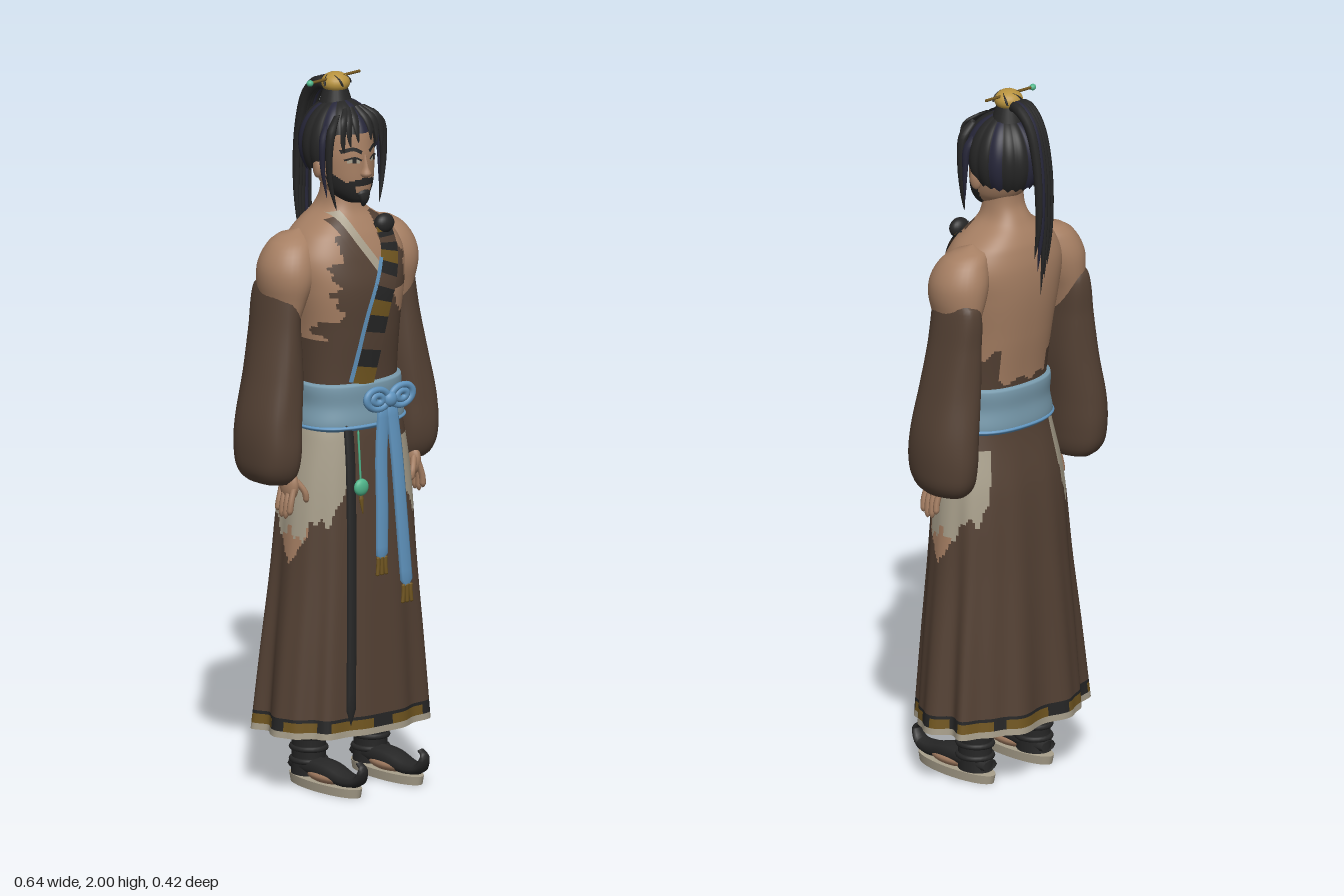
import * as THREE from 'three';

const mat = (name, color) => {
  const m = new THREE.MeshStandardMaterial({ color, side: THREE.DoubleSide });
  m.name = name;
  return m;
};
const skin = mat('skin', 0xa67f63), brown = mat('brown cloth', 0x544134), black = mat('black', 0x262626);
const navy = mat('hair sheen', 0x27273a), gold = mat('gold', 0xb8933f), bronze = mat('bronze trim', 0x715620);
const cream = mat('cream', 0xa89f8b), blue = mat('blue cord', 0x5f93bd), sash = mat('belt blue', 0x7799ab);
const jade = mat('jade', 0x4fb58a);

// Smooth grid surface; pick(x, y, z, u, v) chooses the material of each cell
function grid(name, nu, nv, wrap, point, pick) {
  const pos = [], buckets = new Map(), cols = wrap ? nu : nu + 1;
  for (let j = 0; j <= nv; j++) for (let i = 0; i < cols; i++) pos.push(...point(i / nu, j / nv));
  for (let j = 0; j < nv; j++) for (let i = 0; i < nu; i++) {
    const k = (i + 1) % cols, a = j * cols + i, b = j * cols + k, c = b + cols, d = a + cols;
    const mid = [0, 1, 2].map((q) => (pos[a * 3 + q] + pos[c * 3 + q]) / 2);
    const m = pick.isMaterial ? pick : pick(...mid, (i + 0.5) / nu, (j + 0.5) / nv);
    if (!buckets.has(m)) buckets.set(m, []);
    buckets.get(m).push(a, b, c, a, c, d);
  }
  const g = new THREE.BufferGeometry(), index = [], mats = [];
  for (const [m, list] of buckets) {
    g.addGroup(index.length, list.length, mats.length);
    mats.push(m);
    for (const n of list) index.push(n);
  }
  g.setAttribute('position', new THREE.Float32BufferAttribute(pos, 3));
  g.setIndex(index);
  g.computeVertexNormals();
  const mesh = new THREE.Mesh(g, mats.length > 1 ? mats : mats[0]);
  mesh.name = name;
  return mesh;
}

// Cross-section rows [y, half width, front z, back z, centre x], highest first, blended smoothly
function section(rows, y) {
  let k = 0;
  while (k < rows.length - 2 && y < rows[k + 1][0]) k++;
  const h = rows[k + 1][0] - rows[k][0], t = THREE.MathUtils.clamp((y - rows[k][0]) / h, 0, 1);
  const slope = (i, c) => {
    const p = rows[Math.max(i - 1, 0)], q = rows[Math.min(i + 1, rows.length - 1)];
    return ((q[c] ?? 0) - (p[c] ?? 0)) / (q[0] - p[0]) * h;
  };
  return [1, 2, 3, 4].map((c) => {
    const p = rows[k][c] ?? 0, q = rows[k + 1][c] ?? 0, t2 = t * t, t3 = t2 * t;
    return (2 * t3 - 3 * t2 + 1) * p + (t3 - 2 * t2 + t) * slope(k, c) + (3 * t2 - 2 * t3) * q + (t3 - t2) * slope(k + 1, c);
  });
}
const spow = (v, e) => Math.sign(v) * Math.abs(v) ** e;
function loft(name, rows, pick, { nu = 32, nv = 24, e = 1, fold = () => 1 } = {}) {
  const top = rows[0][0], low = rows[rows.length - 1][0];
  return grid(name, nu, nv, true, (u, v) => {
    const y = top + (low - top) * v, a = u * Math.PI * 2, [rx, zf, zb, cx] = section(rows, y), f = fold(a, y);
    return [cx + rx * f * spow(Math.cos(a), e), y, (zf + zb) / 2 + (zf - zb) / 2 * f * spow(Math.sin(a), e)];
  }, pick);
}
// Front depth of a loft at x, y
function frontZ(rows, x, y, e = 1) {
  const [rx, zf, zb, cx] = section(rows, y), q = Math.min(1, Math.abs((x - cx) / rx));
  return (zf + zb) / 2 + (zf - zb) / 2 * Math.max(0, 1 - q ** (2 / e)) ** (e / 2);
}
// Thin band laid on the front of a loft along points [x, y]
function ribbon(name, pts, width, rows, lift, pick, e = 1) {
  const curve = new THREE.CatmullRomCurve3(pts.map(([x, y]) => new THREE.Vector3(x, y, 0)));
  return grid(name, 6, 28, false, (u, v) => {
    const p = curve.getPoint(v), t = curve.getTangent(v), w = (u - 0.5) * width;
    const x = p.x + t.y * w, y = p.y - t.x * w;
    return [x, y, frontZ(rows, x, y, e) + lift];
  }, pick);
}
// Tapered lock or strip along a path, w wide in x and t thick
const taper = (v) => Math.min(1, 0.55 + v * 2) * (1 - v) ** 0.6;
const strip = (v) => Math.min(1, 40 * Math.min(v, 1 - v));
const digit = (v) => Math.min(1, 6 * (1 - v)) ** 0.5;
function strand(name, pts, w, t, m, shape = taper) {
  const curve = new THREE.CatmullRomCurve3(pts.map((p) => new THREE.Vector3(...p))), X = new THREE.Vector3(1, 0, 0);
  return grid(name, 8, 22, true, (u, v) => {
    const n = curve.getTangent(v).cross(X).normalize(), a = u * Math.PI * 2, s = shape(v);
    return curve.getPoint(v).addScaledVector(X, w * s * Math.cos(a)).addScaledVector(n, t * s * Math.sin(a)).toArray();
  }, m);
}
function solid(name, geo, m, p, s = [1, 1, 1], r = [0, 0, 0]) {
  const mesh = new THREE.Mesh(geo, m);
  mesh.name = name;
  mesh.position.set(...p);
  mesh.scale.set(...s);
  mesh.rotation.set(...r);
  return mesh;
}
const ball = new THREE.SphereGeometry(1, 24, 16);

const TORSO = [[1.74, .05, .03, -.085], [1.67, .052, .03, -.085], [1.625, .068, .04, -.105], [1.59, .115, .062, -.125], [1.56, .15, .08, -.138], [1.5, .18, .105, -.15],
  [1.42, .172, .125, -.15], [1.3, .153, .122, -.135], [1.15, .146, .108, -.11], [1.02, .15, .105, -.1]];
const HEAD = [[1.915, .01, 0, -.04], [1.9, .045, .035, -.085], [1.87, .07, .063, -.11], [1.8, .08, .078, -.12], [1.75, .078, .08, -.11],
  [1.7, .068, .079, -.085], [1.67, .05, .073, -.05], [1.65, .025, .06, -.01], [1.645, .004, .04, .02]];
const SKIRT = [[1.06, .152, .108, -.108], [1, .168, .118, -.115], [.85, .195, .13, -.142], [.6, .215, .143, -.162], [.4, .236, .15, -.175], [.165, .258, .157, -.188]];
const E = 0.85;

function buildBody(g) {
  // Bare torso with a brown wrap over the front
  g.add(loft('torso', TORSO, (x, y, z) => {
    const jag = 0.012 * Math.sin(y * 75 + x * 20) + 0.008 * Math.sin(y * 170);
    const edge = 0.02 * Math.sin(x * 80);
    if (y < 1.17 + edge * 0.5) return brown;
    if (y < 1.28) return z > -0.06 + jag || (Math.abs(x) > 0.085 && y < 1.25 + edge) ? brown : skin;
    if (z < 0.02 || y > 1.615) return skin;
    if (y > 1.49 && x > -0.045 + (1.6 - y) * 0.55 && x < 0.045) return skin;
    const w = y < 1.33 ? 0.15 : y < 1.4 ? (x > 0 ? 0.075 : 0.115) : 0.13 - Math.max(0, y - 1.47) * 0.5;
    return Math.abs(x - 0.008) < w + jag ? brown : skin;
  }, { nu: 112, nv: 92, e: E }));
  g.add(ribbon('cream collar', [[-.06, 1.625], [-.035, 1.56], [.025, 1.46]], .024, TORSO, .008, cream, E));
  g.add(ribbon('brown collar', [[-.075, 1.61], [-.055, 1.555], [0, 1.46]], .03, TORSO, .005, brown, E));
  g.add(ribbon('striped band', [[.075, 1.59], [.07, 1.52], [.015, 1.37], [-.035, 1.15]], .068, TORSO, .009,
    (x, y, z, u, v) => [black, bronze, black, brown][Math.floor(v * 14) % 4], E));
  g.add(ribbon('blue trim', [[.03, 1.5], [-.028, 1.37], [-.074, 1.16]], .013, TORSO, .009, blue, E));
  g.add(solid('shoulder clasp', ball, black, [.075, 1.58, .07], [.032, .028, .022]));
  for (const s of [1, -1]) {
    const side = (rows) => rows.map((r) => [...r.slice(0, 4), r[4] * s]);
    g.add(loft('arm', side([[1.578, .001, -.045, -.047, .135], [1.565, .045, -.01, -.09, .145], [1.54, .063, .022, -.112, .163], [1.49, .076, .046, -.13, .178],
      [1.44, .071, .05, -.132, .186], [1.38, .052, .035, -.125, .193], [1.3, .04, .015, -.11, .2], [1, .03, .02, -.06, .22], [.88, .02, .03, -.02, .218]]), skin, { nv: 48 }));
    g.add(loft('sleeve', side([[1.45, .02, .01, -.1, .215], [1.42, .042, .025, -.136, .205], [1.3, .055, .033, -.142, .211], [1.18, .067, .045, -.147, .222],
      [1.05, .075, .058, -.157, .24], [.96, .073, .062, -.157, .244], [.9, .062, .045, -.14, .242], [.872, .035, .01, -.1, .235], [.868, .004, -.04, -.05, .235]]), brown,
      { nv: 48, e: .9, fold: (a, y) => 1 + .02 * Math.sin(a * 5 + y * 9) }));
    // Hand with four fingers and a thumb
    const hand = new THREE.Group();
    hand.name = 'hand';
    hand.add(solid('palm', ball, skin, [.218 * s, .875, .015], [.02, .045, .034]));
    for (let i = 0; i < 4; i++) {
      const z = .04 - i * .017, tip = [.795, .782, .784, .8][i];
      hand.add(strand('finger', [[.222 * s, .87, z], [.234 * s, .83, z + .002], [.238 * s, tip, z]], .009, .009, skin, digit));
    }
    hand.add(strand('thumb', [[.21 * s, .89, .035], [.192 * s, .855, .052], [.186 * s, .825, .05]], .009, .009, skin, digit));
    g.add(hand);
    // Wrapped leg and curled shoe
    g.add(loft('leg', side([[.5, .06, .03, -.09, .1], [.2, .05, .022, -.082, .11], [.08, .045, .018, -.08, .11], [.03, .045, .02, -.085, .11]]), black));
    for (let i = 0; i < 3; i++) g.add(solid('ankle wrap', new THREE.TorusGeometry(.044, .008, 8, 24), black, [.11 * s, .07 + i * .035, -.031], [1.02, 1.12, 1], [Math.PI / 2, 0, 0]));
    g.add(solid('sole', new THREE.CylinderGeometry(1, .96, 1, 36), cream, [.11 * s, .0125, .042], [.047, .025, .147]));
    g.add(solid('foot', ball, skin, [.11 * s, .042, .055], [.045, .024, .08]));
    g.add(strand('shoe', [[.11 * s, .05, -.09], [.11 * s, .057, 0], [.11 * s, .054, .07], [.11 * s, .042, .14], [.11 * s, .05, .185], [.11 * s, .085, .202], [.11 * s, .1, .185]],
      .045, .026, black, (v) => Math.min(1, .6 + v * 3) * (v < .3 ? 1 : Math.max(.25, 1 - (v - .3) * 1.2))));
  }
}

function buildClothes(g) {
  // Folded robe skirt with hip openings and a banded hem
  const fold = (a, y) => 1 + .055 * Math.max(0, 1 - y) * (1 - .45 * Math.max(0, Math.sin(a))) * (Math.sin(9 * a + .6) + .7 * Math.sin(14 * a + 2));
  g.add(loft('skirt', SKIRT, (x, y, z, u) => {
    const patch = Math.floor(u * 60) % 7 < 2;
    if (y < .182) return cream;
    if (y < .21) return patch ? black : bronze;
    if (y < .222) return black;
    const a = Math.atan2(z + .005, Math.abs(x) * .75), t = Math.abs(a - .08), jag = .02 * Math.sin(a * 13 + 1) + .012 * Math.sin(a * 31);
    if (y < (x > 0 ? .98 : 1.02) && t < .92 + 3 * jag && y > .73 + .12 * t * t + jag) return cream;
    return y < .9 && t < .36 && y > .645 + t * .25 ? skin : brown;
  }, { nu: 144, nv: 100, e: .84, fold }));
  // Belt, cord and looped knot
  g.add(loft('belt', [[1.155, .14, .105, -.105], [1.15, .156, .118, -.12], [1.09, .156, .119, -.119], [1.03, .166, .124, -.122], [1.022, .15, .11, -.11]], sash, { nu: 48, e: E }));
  g.add(loft('belt cord', [[1.04, .16, .12, -.118], [1.032, .171, .13, -.127], [1.022, .16, .12, -.118]], blue, { nu: 48, nv: 8, e: E }));
  for (const s of [1, -1]) for (const r of [.028, .012])
    g.add(solid('knot loop', new THREE.TorusGeometry(r, .009, 10, 28), blue, [.04 + s * .043, 1.105, .136], [1.35, 1, 1], [0, 0, s * .15]));
  g.add(solid('knot', ball, blue, [.04, 1.1, .138], [.022, .022, .016]));
  const tails = [[[.02, 1.09, .135], [.005, .95, .143], [0, .8, .152], [-.005, .65, .157]], [[.045, 1.09, .135], [.055, .95, .147], [.066, .75, .158], [.08, .56, .163]]];
  for (const t of tails) {
    const [x, y, z] = t[3];
    g.add(strand('belt tail', t, .022, .006, blue, strip));
    for (const d of [-.013, 0, .013]) g.add(strand('tassel', [[x + d, y + .015, z], [x + d, y - .01, z], [x + d * 1.2, y - .04, z]], .006, .005, bronze, strip));
  }
  // Long dark strap and jade pendant
  g.add(strand('strap', [1.08, .95, .8, .6, .4, .2].map((y) => [-.08 - (1.08 - y) * .04, y, frontZ(SKIRT, -.1, y, .84) + .009]), .017, .008, black, strip));
  g.add(strand('pendant string', [[-.07, 1.03, .133], [-.068, .95, .137], [-.066, .87, .14]], .003, .003, jade, strip));
  g.add(solid('pendant', ball, jade, [-.066, .868, .142], [.024, .024, .013]));
  g.add(strand('pendant tassel', [[-.066, .845, .141], [-.064, .82, .142], [-.06, .79, .142]], .009, .006, bronze));
}

function buildHead(g) {
  // Head with a trimmed beard
  g.add(loft('head', HEAD, (x, y, z) => {
    const ax = Math.abs(x);
    if (z < 0 || y > 1.74) return skin;
    if (y < 1.682 || y < 1.66 + ax * 1.05) return black;
    return (y > 1.702 && y < 1.724 - ax * .2 && ax < .045) || (ax > .028 && ax < .045 && y < 1.712) ? black : skin;
  }, { nu: 88, nv: 72 }));
  g.add(strand('goatee', [[0, 1.69, .068], [0, 1.665, .076], [0, 1.64, .07]], .026, .014, black));
  g.add(loft('nose', [[1.79, .004, .08, .06], [1.75, .01, .093, .06], [1.732, .016, .1, .06], [1.722, .003, .08, .06]], skin, { nu: 14, nv: 12 }));
  for (const s of [1, -1]) {
    g.add(ribbon('eye', [[s * .018, 1.773], [s * .033, 1.776], [s * .05, 1.775]], .013, HEAD, .002, cream));
    g.add(ribbon('iris', [[s * .029, 1.775], [s * .039, 1.775]], .013, HEAD, .004, black));
    g.add(ribbon('eyelid', [[s * .014, 1.775], [s * .033, 1.784], [s * .056, 1.777]], .005, HEAD, .004, black));
    g.add(ribbon('brow', [[s * .013, 1.797], [s * .035, 1.808], [s * .062, 1.8]], .01, HEAD, .004, black));
    g.add(solid('ear', ball, skin, [s * .092, 1.75, -.015], [.012, .03, .018], [0, s * .3, 0]));
    // Loose locks framing the face
    g.add(strand('side lock', [[s * .06, 1.9, .03], [s * .088, 1.86, .04], [s * .097, 1.78, .04], [s * .09, 1.7, .042], [s * .076, 1.635, .048]], .013, .018, black));
    g.add(strand('side lock', [[s * .07, 1.88, 0], [s * .098, 1.83, .015], [s * .102, 1.76, .018], [s * .094, 1.67, .028]], .011, .016, navy));
    for (const [x, y] of [[.02, 1.825], [.042, 1.815], [.06, 1.8]])
      g.add(strand('fringe', [[s * x * .5, 1.915, .03], [s * x, 1.885, .06], [s * x * 1.15, y + .03, .076 - x * .15], [s * x * 1.1, y, .082 - x * .2]], .016, .007, black));
  }
  // Swept-back hair with ridged locks
  g.add(grid('hair', 144, 24, true, (u, v) => {
    const a = u * Math.PI * 2, f = Math.sin(a);
    const low = f > .7 ? .36 : f > .25 ? .36 - (.7 - f) * 1.6 : -.5 - .1 * Math.min(1, .25 - f) + .04 * Math.sin(a * 24);
    const th = v * Math.acos(low), r = Math.sin(th) * (1 + .04 * Math.abs(Math.sin(9 * a)));
    return [.105 * r * Math.cos(a), 1.805 + .125 * Math.cos(th), -.034 + .115 * r * f];
  }, (x, y, z, u) => (Math.floor(u * 18) % 3 === 1 ? navy : black)));
  // Topknot, golden cap and hairpin
  g.add(solid('topknot', new THREE.CylinderGeometry(.032, .046, .045, 24), black, [0, 1.937, -.048]));
  g.add(solid('topknot cap', ball, gold, [0, 1.97, -.048], [.04, .029, .04]));
  for (let i = 0; i < 5; i++) {
    const a = i * Math.PI * .4 + .5, at = (r, t, y) => [r * Math.cos(a + t), y, -.048 + r * Math.sin(a + t)];
    g.add(strand('topknot wisp', [at(.043, 0, 1.966), at(.036, .2, 1.983), at(.022, .7, 1.995)], .004, .004, black));
  }
  g.add(solid('hairpin', new THREE.CylinderGeometry(.004, .004, .18, 10), bronze, [-.005, 1.984, -.047], [1, 1, 1], [0, 0, Math.PI / 2 + .03]));
  g.add(solid('hairpin bead', ball, jade, [-.092, 1.981, -.047], [.01, .009, .009]));
  // Long ponytail
  for (let i = -2; i <= 2; i++) {
    const x = i * .009, end = 1.43 + Math.abs(i) * .04 + (i > 0 ? .03 : 0);
    g.add(strand('ponytail', [[x * .6, 1.95, -.06], [x, 1.962, -.1], [x, 1.925, -.148], [x * 1.1, 1.82, -.182], [x * 1.2, 1.65, -.192], [x * 1.3, end, -.177]],
      .013, .018, i === 1 ? navy : black, (v) => Math.min(1, .6 + v * 2) * (1 - v ** 3) ** .8));
  }
}

export function createModel() {
  const model = new THREE.Group();
  model.name = 'robed figure';
  for (const [name, build] of [['body', buildBody], ['clothes', buildClothes], ['head and hair', buildHead]]) {
    const part = new THREE.Group();
    part.name = name;
    build(part);
    model.add(part);
  }
  return model;
}
